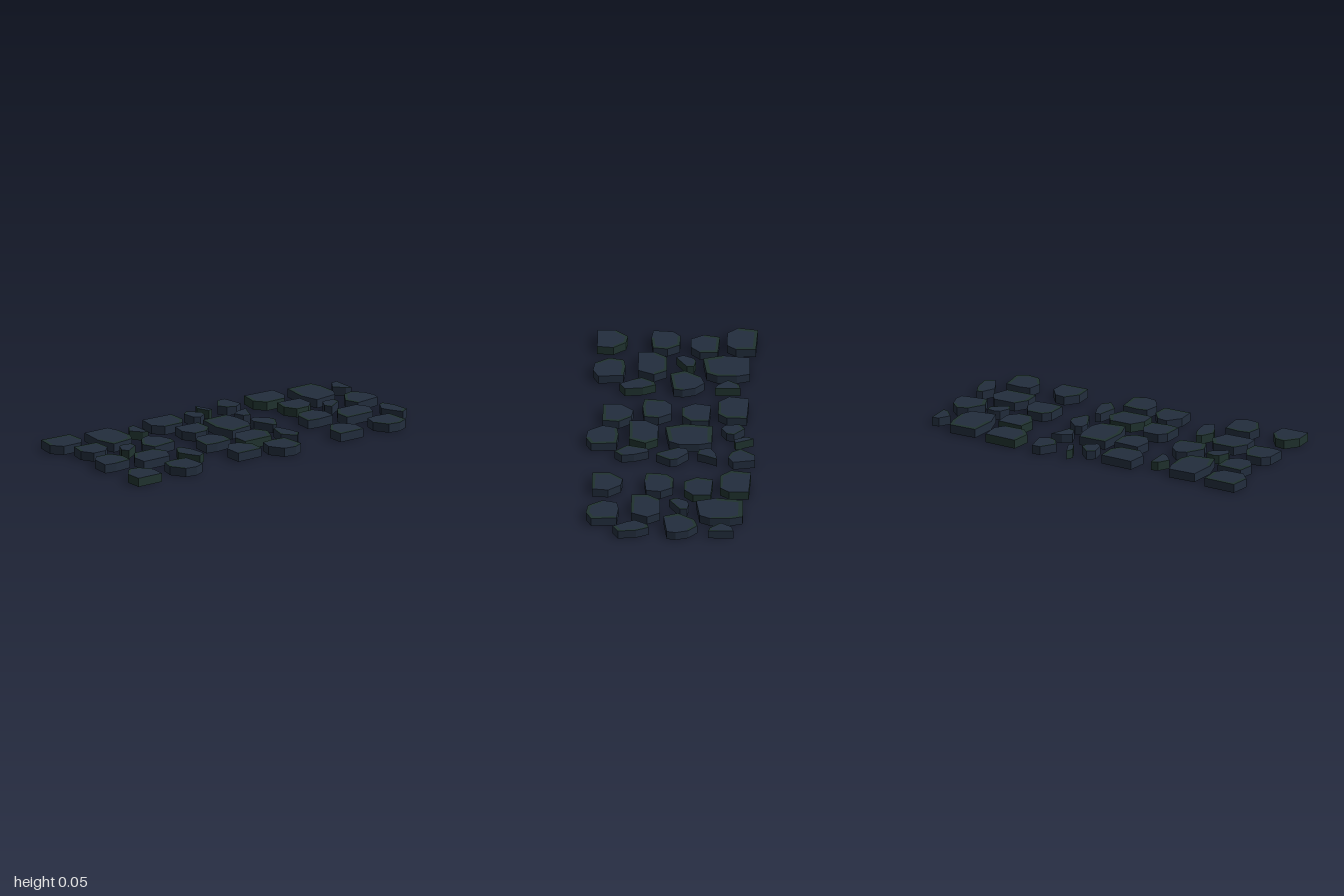
import * as THREE from 'three';

const HEIGHT = 0.05;

const navy = new THREE.MeshStandardMaterial({ name: 'navyStone', color: 0x222d3d, side: THREE.DoubleSide, flatShading: true });
const green = new THREE.MeshStandardMaterial({ name: 'mossyStone', color: 0x20332f, side: THREE.DoubleSide, flatShading: true });

// Flat stone, open underneath. Outline: x, z pairs in hundredths, clockwise from above.
function stoneGeometry(outline, greenWalls, seed) {
  const ring = [];
  for (let i = 0; i < outline.length; i += 2) ring.push([outline[i] / 100, outline[i + 1] / 100]);
  const n = ring.length;
  const cx = ring.reduce((s, p) => s + p[0], 0) / n;
  const cz = ring.reduce((s, p) => s + p[1], 0) / n;
  const inner = ring.map(([x, z]) => [cx + (x - cx) * 0.8, cz + (z - cz) * 0.8]);
  const faces = [[], []]; // navy, green
  const at = ([x, z], y) => [x, y, z];
  const quad = (list, a, b, c, d) => list.push(...a, ...b, ...c, ...a, ...c, ...d);

  for (let i = 0; i < n; i++) {
    const j = (i + 1) % n;
    // side wall
    quad(faces[greenWalls ? 1 : 0], at(ring[i], HEIGHT), at(ring[j], HEIGHT), at(ring[j], 0), at(ring[i], 0));
    // top: navy centre, with moss along half of the rim
    const mossy = (i + seed) % n < n / 2;
    quad(faces[mossy ? 1 : 0], at(inner[i], HEIGHT), at(inner[j], HEIGHT), at(ring[j], HEIGHT), at(ring[i], HEIGHT));
    faces[0].push(cx, HEIGHT, cz, ...at(inner[j], HEIGHT), ...at(inner[i], HEIGHT));
  }
  const geometry = new THREE.BufferGeometry();
  geometry.setAttribute('position', new THREE.Float32BufferAttribute([...faces[0], ...faces[1]], 3));
  geometry.addGroup(0, faces[0].length / 3, 0);
  geometry.addGroup(faces[0].length / 3, faces[1].length / 3, 1);
  geometry.computeVertexNormals();
  return geometry;
}

export function createModel() {
  const model = new THREE.Group();
  model.name = 'steppingStones';
  let seed = 0;

  // One shape laid at several spots: each spot is [dx, dz, greenWalls]
  function lay(name, outline, ...spots) {
    for (const [dx, dz, greenWalls] of spots) {
      const mesh = new THREE.Mesh(stoneGeometry(outline, greenWalls, seed++ * 2), [navy, green]);
      mesh.name = name;
      mesh.position.set(dx / 100, 0, dz / 100);
      model.add(mesh);
    }
  }

  // Shapes shared by the back and front patches
  lay('smallPebble', [-36, -98, -22, -98, -23, -95, -29, -90, -35, -94], [0, 0], [-2, 139, true]);
  lay('wedgeStone', [-11, -98, -4, -100, 1, -99, 3, -84, -5, -81, -14, -87, -16, -93], [0, 0], [-2, 139]);
  lay('longPebble', [11, -95, 18, -98, 28, -99, 31, -94, 24, -90, 19, -88, 12, -92], [0, 0], [-2, 139, true]);
  lay('thinPebble', [-10, -77, -6, -77, 0, -68, -4, -66, -10, -69, -11, -72], [0, 0], [-2, 139, true]);

  // Shapes shared by the back, middle and front patches
  lay('broadStone', [-41, -84, -34, -86, -23, -86, -17, -83, -15, -69, -26, -66, -41, -68],
    [0, 0], [18, 72], [-2, 139]);
  lay('tallStone', [5, -81, 12, -85, 21, -81, 21, -63, 12, -63, 5, -68],
    [0, 0], [2, 72, true], [-2, 139]);
  lay('edgeStone', [29, -86, 43, -87, 46, -81, 45, -74, 37, -69, 29, -71, 28, -77],
    [0, 0], [1, 73], [-2, 139]);
  lay('cornerStone', [-44, -60, -33, -60, -28, -56, -28, -44, -34, -39, -45, -41],
    [0, 0, true], [2, 72], [-2, 139]);
  lay('roundStone', [-23, -63, -13, -63, -8, -58, -8, -50, -15, -46, -24, -48],
    [0, 0, true], [2, 72], [-2, 139]);
  lay('squareStone', [-2, -56, 5, -60, 13, -59, 14, -49, 13, -42, 2, -43, -2, -47],
    [0, 0], [2, 72], [-2, 139]);
  lay('sideStone', [27, -54, 34, -59, 43, -58, 43, -42, 33, -42, 26, -48],
    [0, 0], [-5, 67], [-1, 139, true]);

  // Filler pebbles of the middle patch
  lay('fillerPebble', [-47, -29, -35, -31, -32, -26, -34, -21, -39, -18, -47, -24], [0, 0]);
  lay('fillerPebble', [-26, -28, -20, -25, -15, -23, -16, -19, -22, -17, -25, -22], [0, 0]);
  lay('fillerPebble', [-10, -22, -4, -28, 0, -29, 8, -24, 7, -22, -4, -17, -9, -18], [0, 0]);
  lay('fillerPebble', [12, -21, 20, -24, 27, -25, 31, -21, 24, -15, 13, -18], [0, 0]);
  lay('fillerPebble', [-46, -8, -36, -12, -35, -9, -42, -6], [0, 0, true]);
  lay('fillerPebble', [-35, -4, -31, -3, -28, 2, -30, 5, -38, 6, -41, 2], [0, 0]);

  return model;
}
